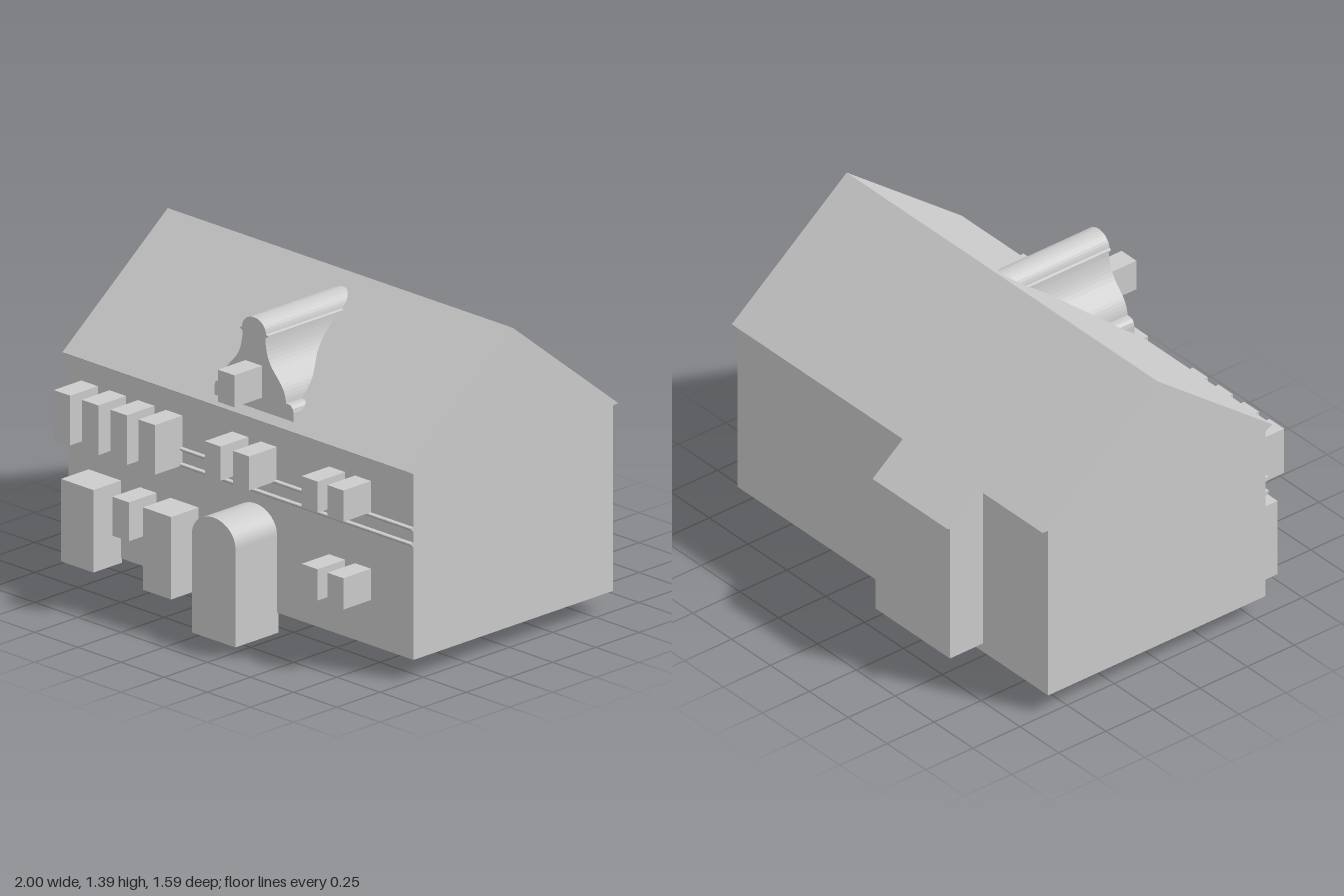
import * as THREE from 'three';

export function createModel() {
  const model = new THREE.Group();
  const stone = new THREE.MeshStandardMaterial({ color: 0xcccccc });
  stone.name = 'light grey';

  const add = (name, geometry) => {
    const mesh = new THREE.Mesh(geometry, stone);
    mesh.name = name;
    model.add(mesh);
    return mesh;
  };
  const shapeOf = (points) => new THREE.Shape(points.map(([a, b]) => new THREE.Vector2(a, b)));

  // Side profile given as [z, y], swept from x0 to x1
  const sweepX = (name, points, x0, x1) => {
    const g = new THREE.ExtrudeGeometry(shapeOf(points), { depth: x1 - x0, bevelEnabled: false });
    g.rotateY(-Math.PI / 2);
    g.translate(x1, 0, 0);
    return add(name, g);
  };
  // Front outline swept from z0 to z1
  const sweepZ = (name, shape, z0, z1) => {
    const g = new THREE.ExtrudeGeometry(shape, { depth: z1 - z0, bevelEnabled: false, curveSegments: 16 });
    g.translate(0, 0, z0);
    return add(name, g);
  };
  const block = (name, x0, x1, y0, y1, z0 = 0.55, z1 = 0.715) => {
    const g = new THREE.BoxGeometry(x1 - x0, y1 - y0, z1 - z0);
    g.translate((x0 + x1) / 2, (y0 + y1) / 2, (z0 + z1) / 2);
    return add(name, g);
  };

  // House body with pitched roof and small eaves
  sweepX('house', [
    [-0.6, 0.09], [0.555, 0.09], [0.555, 0.9], [0.59, 0.92],
    [-0.02, 1.39], [-0.63, 0.902], [-0.6, 0.9],
  ], -1, 1);

  // Rear extension under the continued roof slope
  sweepX('rearExtension', [
    [-0.59, 0.13], [-0.59, 0.934], [-0.79, 0.774], [-0.775, 0.768], [-0.775, 0.13],
  ], -0.58, -0.1);

  // Two string courses, each with a sloping underside
  for (const [y0, y1] of [[0.582, 0.602], [0.65, 0.67]]) {
    sweepX('stringCourse', [[0.55, y0], [0.557, y0], [0.575, y1 - 0.003], [0.572, y1], [0.55, y1]], -1, 1);
  }

  // Upper windows
  for (const x of [-0.925, -0.762, -0.597, -0.434]) block('tallWindow', x, x + 0.095, 0.59, 0.807);
  for (const x of [-0.05, 0.115]) block('middleWindow', x, x + 0.092, 0.664, 0.813);

  // Right-hand windows on both floors
  for (const x of [0.511, 0.661]) {
    block('upperRightWindow', x, x + 0.092, 0.67, 0.807);
    block('lowerRightWindow', x, x + 0.092, 0.287, 0.424);
  }

  // Ground floor side doors with a window between
  block('sideDoor', -0.883, -0.695, 0.07, 0.43);
  block('sideDoor', -0.408, -0.245, 0.07, 0.43);
  block('groundWindow', -0.585, -0.49, 0.26, 0.43);

  // Arched main door
  const door = new THREE.Shape();
  door.moveTo(-0.045, 0);
  door.lineTo(0.208, 0);
  door.lineTo(0.208, 0.43);
  door.absellipse(0.0815, 0.43, 0.1265, 0.104, 0, Math.PI, false);
  door.closePath();
  sweepZ('mainDoor', door, 0.545, 0.795);

  // Curved dormer gable: one half outline, mirrored about its centre line
  const flank = new THREE.SplineCurve([
    [0.186, 1.016], [0.181, 1.045], [0.165, 1.08], [0.138, 1.112], [0.102, 1.152],
    [0.08, 1.192], [0.069, 1.235], [0.066, 1.27],
  ].map(([x, y]) => new THREE.Vector2(x, y))).getPoints(18).map((p) => [p.x, p.y]);
  const half = [
    [0.229, 0.945], [0.229, 0.985], [0.225, 1.002], [0.214, 1.013], [0.202, 1.016],
    ...flank,
    [0.08, 1.277], [0.08, 1.283], [0.07, 1.287],
  ];
  for (let i = 1; i < 8; i++) {
    const a = (i / 8) * Math.PI / 2;
    half.push([0.069 * Math.cos(a), 1.287 + 0.058 * Math.sin(a)]);
  }
  const cx = 0.075;
  const outline = [
    ...half.map(([x, y]) => [cx + x, y]),
    [cx, 1.345],
    ...half.slice().reverse().map(([x, y]) => [cx - x, y]),
  ];
  sweepZ('dormerGable', shapeOf(outline), 0.01, 0.555);
  block('dormerWindow', 0.026, 0.121, 1.005, 1.145);

  return model;
}
